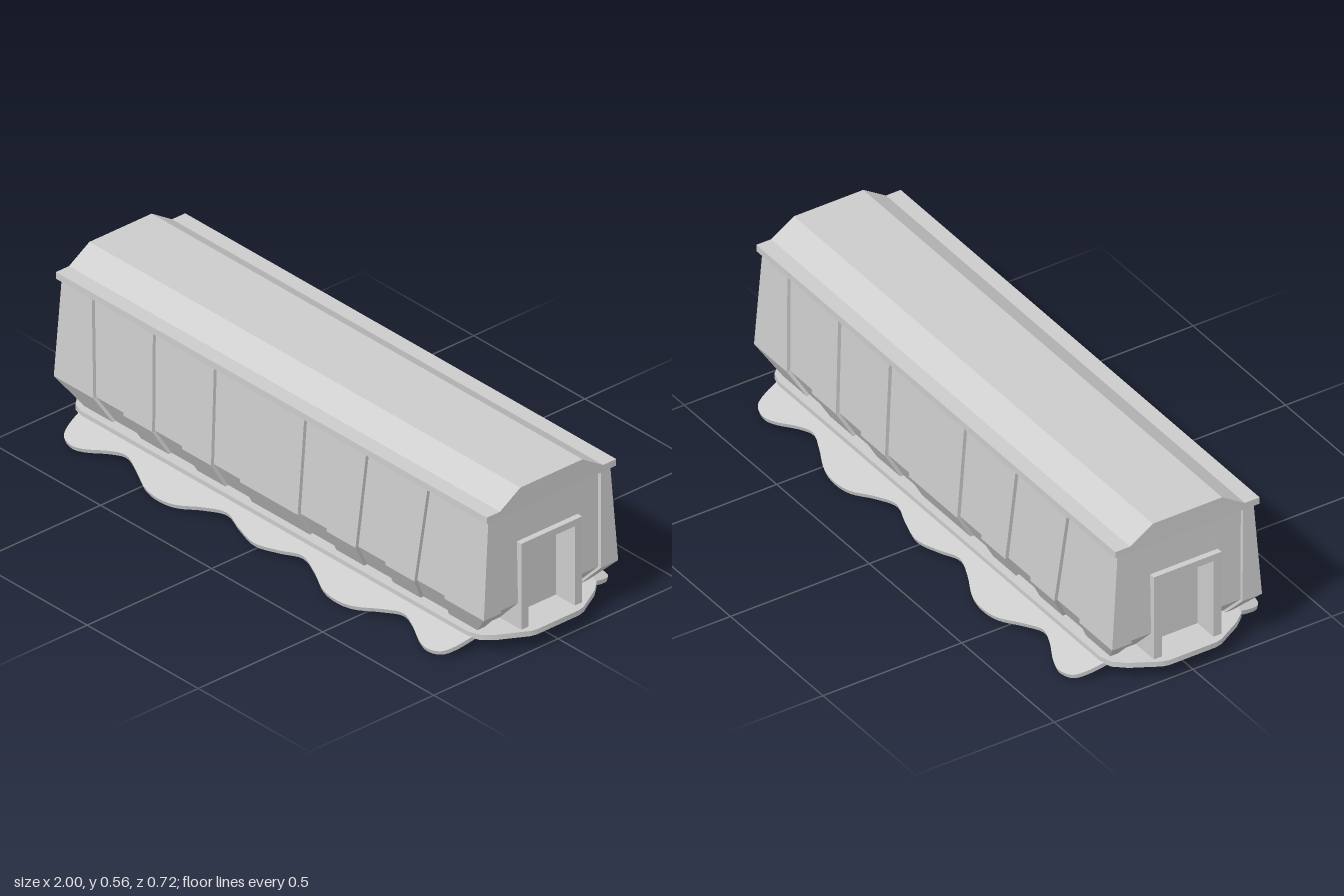
import * as THREE from 'three';
import { toCreasedNormals } from 'three/addons/utils/BufferGeometryUtils.js';

const grey = new THREE.MeshStandardMaterial({ color: 0xcccccc });

function add(parent, name, geometry) {
  const mesh = new THREE.Mesh(geometry, grey);
  mesh.name = name;
  parent.add(mesh);
  return mesh;
}

// Solid through stacked rectangles, each [y, x0, x1, z0, z1], from bottom to top
function stack(levels) {
  const rings = levels.map(([y, xa, xb, za, zb]) => {
    const x0 = Math.min(xa, xb), x1 = Math.max(xa, xb);
    const z0 = Math.min(za, zb), z1 = Math.max(za, zb);
    return [[x0, y, z1], [x1, y, z1], [x1, y, z0], [x0, y, z0]];
  });
  const pos = [];
  const quad = (a, b, c, d) => pos.push(...a, ...b, ...c, ...a, ...c, ...d);
  for (let i = 0; i < rings.length - 1; i++) {
    for (let j = 0; j < 4; j++) {
      const k = (j + 1) % 4;
      quad(rings[i][j], rings[i][k], rings[i + 1][k], rings[i + 1][j]);
    }
  }
  const top = rings[rings.length - 1], low = rings[0];
  quad(top[0], top[1], top[2], top[3]);
  quad(low[3], low[2], low[1], low[0]);
  const g = new THREE.BufferGeometry();
  g.setAttribute('position', new THREE.Float32BufferAttribute(pos, 3));
  g.computeVertexNormals();
  return g;
}

const shapeOf = pts => new THREE.Shape(pts.map(p => new THREE.Vector2(p[0], p[1])));
const extrude = (shape, depth) => new THREE.ExtrudeGeometry(shape, { depth, bevelEnabled: false });

// Wall levels: foot, widest point and eave
const Y = [0.065, 0.155, 0.49];
const OUT = [0.22, 0.27, 0.245];
const END = [0.882, 0.968, 0.96];
const RECESS = 0.012;

// Panel edges along the side at each level, from the end to the middle
const EDGES = [
  [0.755, 0.628, 0.504, 0.375, 0.25, 0.13],
  [0.79, 0.655, 0.525, 0.39, 0.26, 0.13],
  [0.825, 0.688, 0.55, 0.411, 0.275, 0.132],
];

// One long side: raised wall panels and the wavy skirt
function makeSide() {
  const side = new THREE.Group();
  side.name = 'longSide';
  const panel = (name, from, to) => add(side, name,
    stack(Y.map((y, l) => [y, from(l), to(l), 0.15, OUT[l]])));
  panel('middlePanel', l => -EDGES[l][5], l => EDGES[l][5]);
  for (const s of [-1, 1]) {
    for (const i of [1, 3]) {
      panel('raisedPanel', l => s * EDGES[l][i], l => s * EDGES[l][i + 1]);
    }
  }

  // Wavy skirt, hinged under the platform and sloping down
  const wave = [[0.89, 0.22], [0.875, 0.29], [0.85, 0.335], [0.8, 0.35], [0.75, 0.338],
    [0.68, 0.304], [0.62, 0.289], [0.55, 0.314], [0.47, 0.35], [0.4, 0.36],
    [0.33, 0.35], [0.25, 0.313], [0.17, 0.289], [0.09, 0.312]];
  const tilt = 1.892, hingeZ = 0.22;
  const toShape = ([x, z]) => new THREE.Vector2(x, (z - hingeZ) / Math.sin(tilt));
  const edge = [...wave, [0, 0.331], ...wave.map(([x, z]) => [-x, z]).reverse()].map(toShape);
  const outline = new THREE.SplineCurve(edge).getPoints(140);
  const skirt = toCreasedNormals(extrude(new THREE.Shape(outline), 0.0145), 0.6);
  skirt.rotateX(tilt).translate(0, 0.062, hingeZ);
  add(side, 'wavySkirt', skirt);
  return side;
}

// One end: corner posts, recessed wall and door recess with its frame
function makeEnd() {
  const end = new THREE.Group();
  end.name = 'endWall';
  const postInner = [0.193, 0.2, 0.207];
  for (const s of [-1, 1]) {
    add(end, 'cornerPost', stack(Y.map((y, l) =>
      [y, EDGES[l][0], END[l], s * postInner[l], s * OUT[l]])));
    add(end, 'endPanel', stack(Y.map((y, l) =>
      [y, 0.82, END[l] - RECESS, s * 0.108, s * (postInner[l] + 0.005)])));
  }
  add(end, 'wallAboveDoor', stack([
    [0.355, 0.82, 0.951, -0.108, 0.108],
    [0.49, 0.82, END[2] - RECESS, -0.108, 0.108],
  ]));
  add(end, 'door', new THREE.BoxGeometry(0.04, 0.3, 0.22).translate(0.865, 0.21, 0));

  const frame = shapeOf([[-0.122, 0.06], [-0.093, 0.06], [-0.093, 0.344], [0.093, 0.344],
    [0.093, 0.06], [0.122, 0.06], [0.122, 0.367], [-0.122, 0.367]]);
  add(end, 'doorFrame', extrude(frame, 0.111).rotateY(Math.PI / 2).translate(0.86, 0, 0));
  return end;
}

export function createModel() {
  const model = new THREE.Group();
  model.name = 'longCabin';

  // Recessed wall core
  add(model, 'wallCore', stack(Y.map((y, l) =>
    [y, -0.86, 0.86, -(OUT[l] - RECESS), OUT[l] - RECESS])));

  // Sides and ends repeat by half a turn
  for (const turn of [0, Math.PI]) {
    const side = makeSide(), end = makeEnd();
    side.rotation.y = end.rotation.y = turn;
    model.add(side, end);
  }

  // Flat-topped roof with eaves
  const half = [[0.26, 0.489], [0.26, 0.512], [0.207, 0.512], [0.125, 0.564]];
  const profile = shapeOf([...half, ...half.map(([z, y]) => [-z, y]).reverse()]);
  add(model, 'roof', extrude(profile, 1.94).rotateY(Math.PI / 2).translate(-0.97, 0, 0));

  // Floor platform with rounded ends
  const corner = [[0.87, 0.248], [0.91, 0.235], [0.945, 0.195], [0.97, 0.15], [0.994, 0.108], [1, 0.085]];
  const right = [...corner, ...corner.map(([x, z]) => [x, -z]).reverse()];
  const floor = shapeOf([...right, ...right.map(([x, z]) => [-x, -z])]);
  add(model, 'platform',
    toCreasedNormals(extrude(floor, 0.018).rotateX(Math.PI / 2).translate(0, 0.068, 0), 0.7));

  return model;
}
